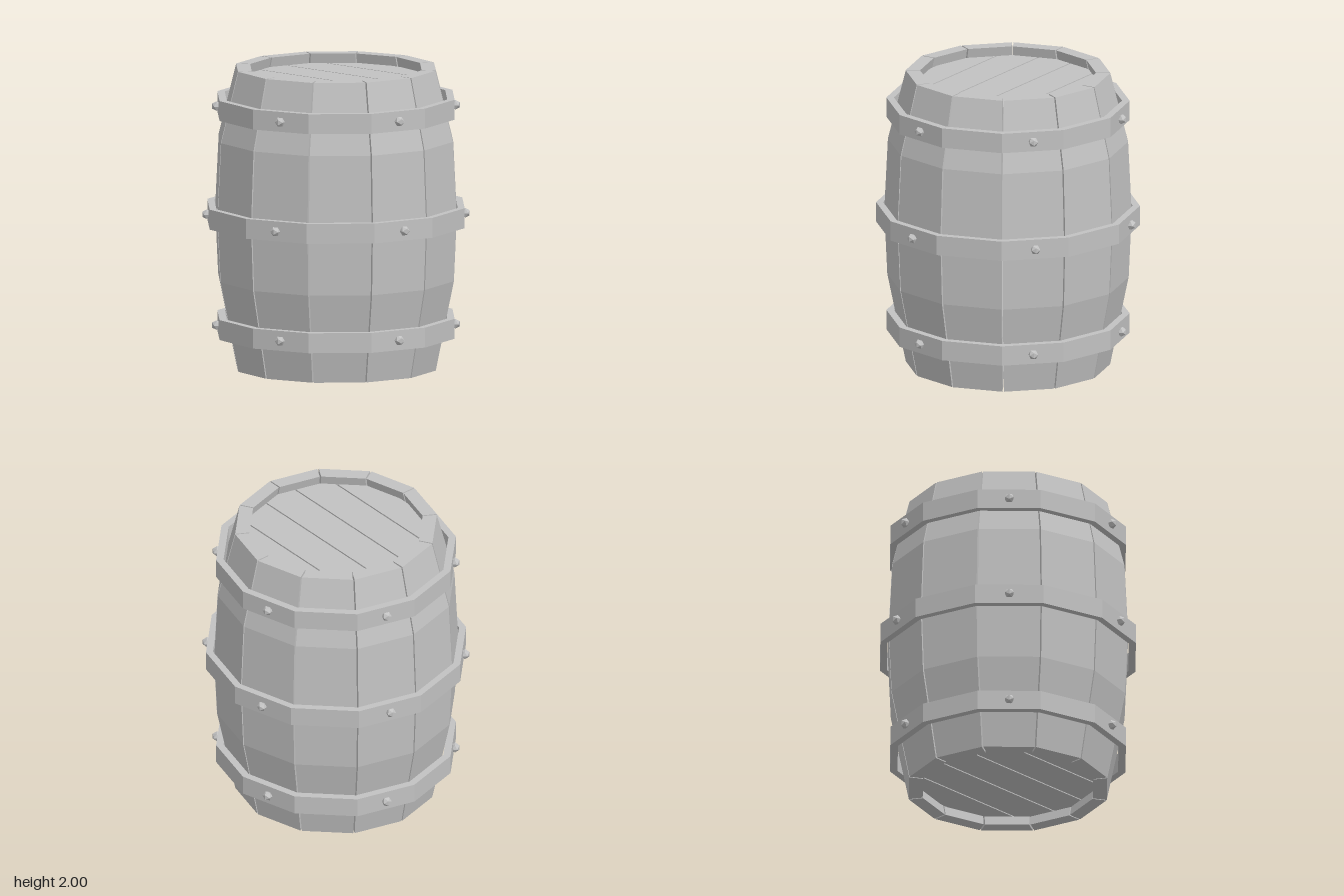
import * as THREE from 'three';

const SIDES = 12;
const STEP = (Math.PI * 2) / SIDES;
const GAP = 0.005; // half the gap between neighbouring boards

// Outer stave profile: [y, corner radius]
const PROFILE = [[0, 0.675], [0.6, 0.797], [1.04, 0.817], [1.53, 0.793], [2, 0.675]];
const STAVE_THICKNESS = 0.095;

const grey = new THREE.MeshStandardMaterial({ color: 0xc2c2c2 });
grey.name = 'plain grey';
grey.flatShading = true;

function addMesh(parent, name, geometry) {
  const mesh = new THREE.Mesh(geometry, grey);
  mesh.name = name;
  parent.add(mesh);
  return mesh;
}

// A box bent along the barrel profile, facing +z
function staveGeometry() {
  const rows = PROFILE.length - 1;
  const geo = new THREE.BoxGeometry(1, rows, 1, 1, rows, 1);
  const p = geo.attributes.position;
  for (let i = 0; i < p.count; i++) {
    const [y, outer] = PROFILE[Math.round(p.getY(i) + rows / 2)];
    const r = p.getZ(i) > 0 ? outer : outer - STAVE_THICKNESS;
    const half = r * Math.sin(STEP / 2) - GAP;
    p.setXYZ(i, Math.sign(p.getX(i)) * half, y, r * Math.cos(STEP / 2));
  }
  const flat = geo.toNonIndexed();
  flat.computeVertexNormals();
  return flat;
}

function polygonPoints(radius) {
  return Array.from({ length: SIDES }, (_, i) =>
    new THREE.Vector2(radius * Math.cos(i * STEP), radius * Math.sin(i * STEP)));
}

// Extrudes a flat shape upwards from y
function slab(shape, y, height) {
  const geo = new THREE.ExtrudeGeometry(shape, { depth: height, bevelEnabled: false });
  return geo.rotateX(-Math.PI / 2).translate(0, y, 0);
}

// The part of a twelve-sided disc lying between x = a and x = b
function plankShape(a, b, radius) {
  const corners = polygonPoints(radius).slice(0, SIDES / 2 + 1).reverse();
  const depthAt = (x) => {
    const i = corners.findIndex((c, k) => k > 0 && x <= c.x);
    const c0 = corners[i - 1], c1 = corners[i];
    return c0.y + ((c1.y - c0.y) * (x - c0.x)) / (c1.x - c0.x);
  };
  const inner = corners.map((c) => c.x).filter((x) => x > a + 1e-4 && x < b - 1e-4);
  const xs = [a, ...inner, b];
  const lower = xs.map((x) => new THREE.Vector2(x, -depthAt(x)));
  const upper = xs.map((x) => new THREE.Vector2(x, depthAt(x))).reverse();
  return new THREE.Shape([...lower, ...upper]);
}

export function createModel() {
  const barrel = new THREE.Group();
  barrel.name = 'barrel';

  // Staves
  const staves = new THREE.Group();
  staves.name = 'staves';
  barrel.add(staves);
  const staveGeo = staveGeometry();
  for (let i = 0; i < SIDES; i++) {
    addMesh(staves, 'stave', staveGeo).rotation.y = (i + 0.5) * STEP;
  }

  // Recessed plank lids, top and bottom
  const lidRadius = 0.597;
  const cuts = [-0.59, -0.375, -0.125, 0.125, 0.375, 0.59];
  for (const [name, y] of [['topLid', 1.885], ['bottomLid', 0.065]]) {
    const lid = new THREE.Group();
    lid.name = name;
    barrel.add(lid);
    for (let i = 0; i < cuts.length - 1; i++) {
      const shape = plankShape(cuts[i] + GAP, cuts[i + 1] - GAP, lidRadius);
      addMesh(lid, 'lidPlank', slab(shape, y, 0.05));
    }
  }

  // Hoops with six rivets each
  const hoops = [
    ['bottomHoop', 0.217, 0.802, 0.752],
    ['middleHoop', 0.957, 0.87, 0.823],
    ['topHoop', 1.678, 0.802, 0.752],
  ];
  const hoopHeight = 0.133;
  const rivetGeo = new THREE.IcosahedronGeometry(0.034, 0);
  for (const [name, y, outer, inner] of hoops) {
    const hoop = new THREE.Group();
    hoop.name = name;
    barrel.add(hoop);
    const shape = new THREE.Shape(polygonPoints(outer));
    shape.holes.push(new THREE.Path(polygonPoints(inner).reverse()));
    addMesh(hoop, 'band', slab(shape, y, hoopHeight));
    const r = outer * Math.cos(STEP / 2) + 0.012;
    for (let k = 0; k < 6; k++) {
      const angle = (2 * k - 0.5) * STEP;
      const rivet = addMesh(hoop, 'rivet', rivetGeo);
      rivet.position.set(r * Math.sin(angle), y + hoopHeight / 2, r * Math.cos(angle));
      rivet.rotation.y = angle;
    }
  }

  return barrel;
}
